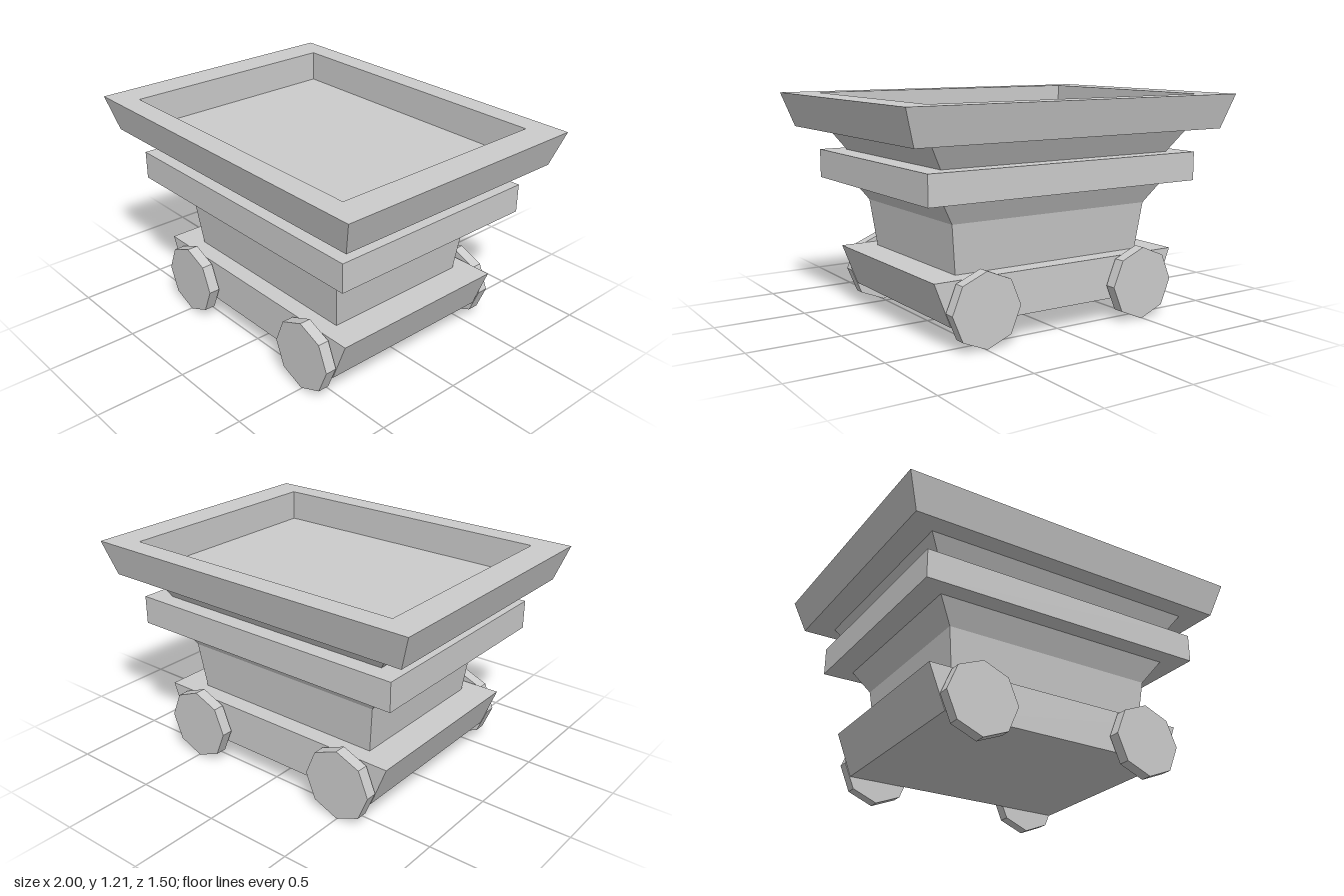
import * as THREE from 'three';

const material = new THREE.MeshStandardMaterial({ color: 0xcccccc, flatShading: true });

// Joins rectangular rings [halfWidth, halfDepth, y] into a closed, flat-sided solid.
function loftRings(name, rings) {
  const corners = [[-1, 1], [1, 1], [1, -1], [-1, -1]];
  const points = rings.map(([w, d, y]) => corners.map(([sx, sz]) => [sx * w, y, sz * d]));
  const positions = [];
  const quad = (a, b, c, d) => positions.push(...a, ...b, ...c, ...a, ...c, ...d);

  for (let r = 0; r < points.length - 1; r++) {
    for (let i = 0; i < 4; i++) {
      const j = (i + 1) % 4;
      quad(points[r][i], points[r][j], points[r + 1][j], points[r + 1][i]);
    }
  }
  quad(...[...points[0]].reverse());
  quad(...points[points.length - 1]);

  const geometry = new THREE.BufferGeometry();
  geometry.setAttribute('position', new THREE.Float32BufferAttribute(positions, 3));
  geometry.computeVertexNormals();
  const mesh = new THREE.Mesh(geometry, material);
  mesh.name = name;
  return mesh;
}

export function createModel() {
  const model = new THREE.Group();
  model.name = 'wheeledTrayStand';

  // Stacked body, from the chassis up
  model.add(
    loftRings('chassis', [[0.66, 0.53, 0.12], [0.75, 0.53, 0.35]]),
    loftRings('column', [[0.577, 0.433, 0.35], [0.608, 0.46, 0.61]]),
    loftRings('lowerFlare', [[0.608, 0.46, 0.61], [0.695, 0.52, 0.735]]),
    loftRings('band', [[0.827, 0.622, 0.735], [0.827, 0.622, 0.892]]),
    loftRings('upperFlare', [[0.707, 0.53, 0.892], [0.795, 0.597, 1.02]]),
    // The tray profile runs up the outside, over the rim and down into the recess
    loftRings('tray', [
      [0.937, 0.703, 1.02], [1, 0.75, 1.207], [0.83, 0.627, 1.207], [0.83, 0.627, 1.035],
    ]),
  );

  // Four octagonal wheels, each with a corner pointing down
  const wheelGeometry = new THREE.CylinderGeometry(0.197, 0.197, 0.063, 8).rotateX(Math.PI / 2);
  for (const [sideZ, front] of [[1, 'front'], [-1, 'back']]) {
    for (const [sideX, side] of [[1, 'Left'], [-1, 'Right']]) {
      const wheel = new THREE.Mesh(wheelGeometry, material);
      wheel.name = `${front}${side}Wheel`;
      wheel.position.set(sideX * 0.495, 0.197, sideZ * 0.569);
      model.add(wheel);
    }
  }
  return model;
}
